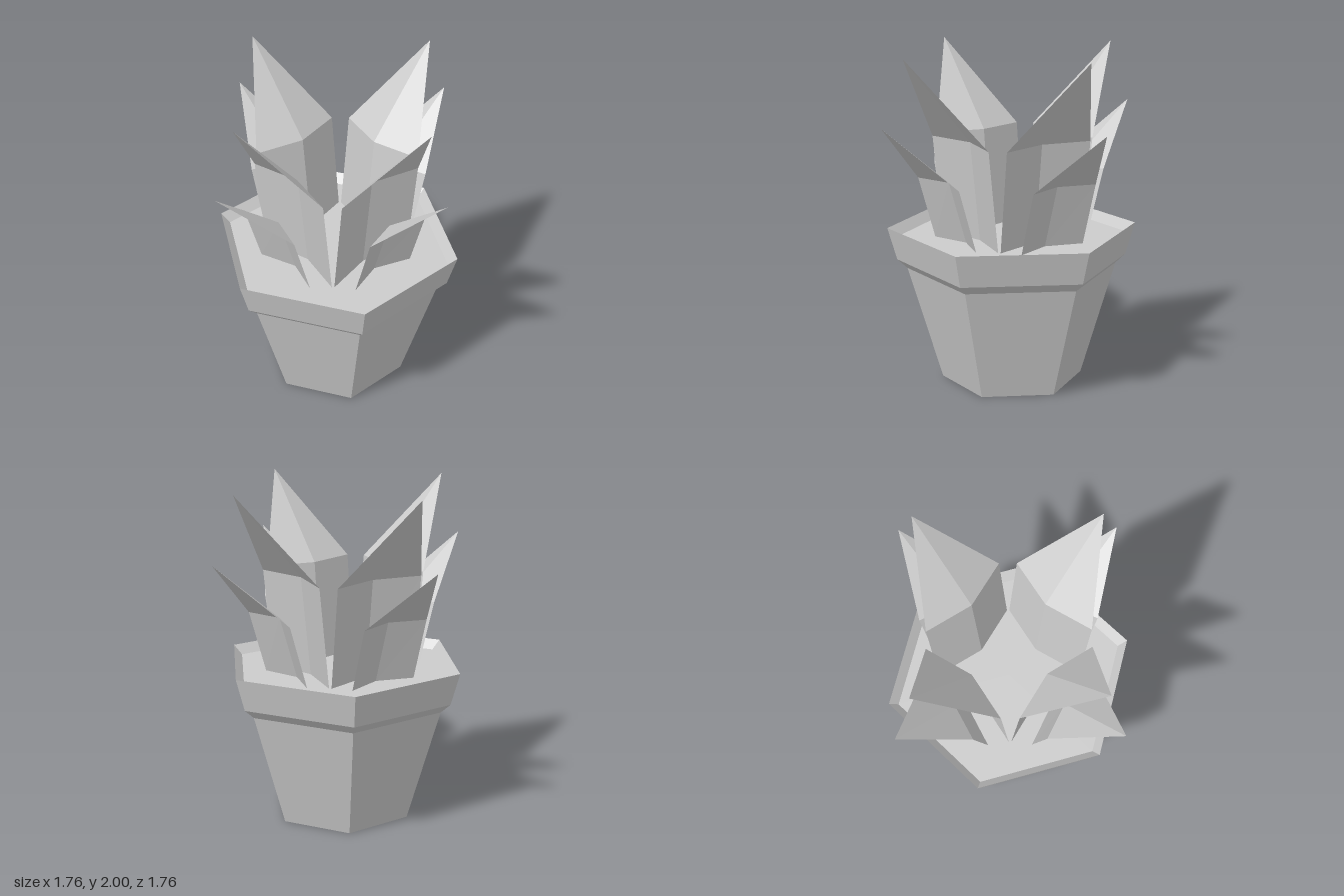
import * as THREE from 'three';

const material = new THREE.MeshStandardMaterial({
  color: 0xcccccc, flatShading: true, side: THREE.DoubleSide,
});

// Six-sided turned part with corners on the x axis; profile is [radius, y] pairs
function hexLathe(name, profile) {
  const points = profile.map(([r, y]) => new THREE.Vector2(r, y));
  const geometry = new THREE.LatheGeometry(points, 6, Math.PI / 2).toNonIndexed();
  geometry.computeVertexNormals();
  const mesh = new THREE.Mesh(geometry, material);
  mesh.name = name;
  return mesh;
}

// Thin leaf folded along its middle, leaning towards +z.
// base and bend are [y, z of the fold, z of the sides]; tip is [y, z]
function leafGeometry(halfWidth, base, bend, tip) {
  const row = ([y, fold, sides]) => [
    -halfWidth, y, sides, 0, y, fold, halfWidth, y, sides,
  ];
  const geometry = new THREE.BufferGeometry();
  geometry.setAttribute('position', new THREE.Float32BufferAttribute(
    [...row(base), ...row(bend), 0, tip[0], tip[1]], 3));
  const faces = [];
  for (let i = 0; i < 2; i++) {
    faces.push(i, i + 1, i + 4, i, i + 4, i + 3, i + 3, i + 4, 6);
  }
  geometry.setIndex(faces);
  const flat = geometry.toNonIndexed();
  flat.computeVertexNormals();
  return flat;
}

export function createModel() {
  const model = new THREE.Group();
  model.name = 'pottedPlant';

  // Pot with a closed bottom, flared rim and bevelled inner lip
  model.add(hexLathe('pot', [
    [0, 0], [0.425, 0], [0.63, 0.695], [0.69, 0.75], [0.745, 0.945], [0.69, 0.89],
  ]));
  model.add(hexLathe('soil', [[0.69, 0.89], [0, 0.89]]));

  // Two rings of four leaves
  const rings = {
    innerLeaf: leafGeometry(0.295, [0.89, 0.233, 0.305], [1.485, 0.297, 0.368], [2, 0.735]),
    outerLeaf: leafGeometry(0.22, [0.89, 0.33, 0.405], [1.265, 0.445, 0.517], [1.625, 0.88]),
  };
  for (const [name, geometry] of Object.entries(rings)) {
    for (let i = 0; i < 4; i++) {
      const leaf = new THREE.Mesh(geometry, material);
      leaf.name = name + (i + 1);
      leaf.rotation.y = i * Math.PI / 2;
      model.add(leaf);
    }
  }
  return model;
}
